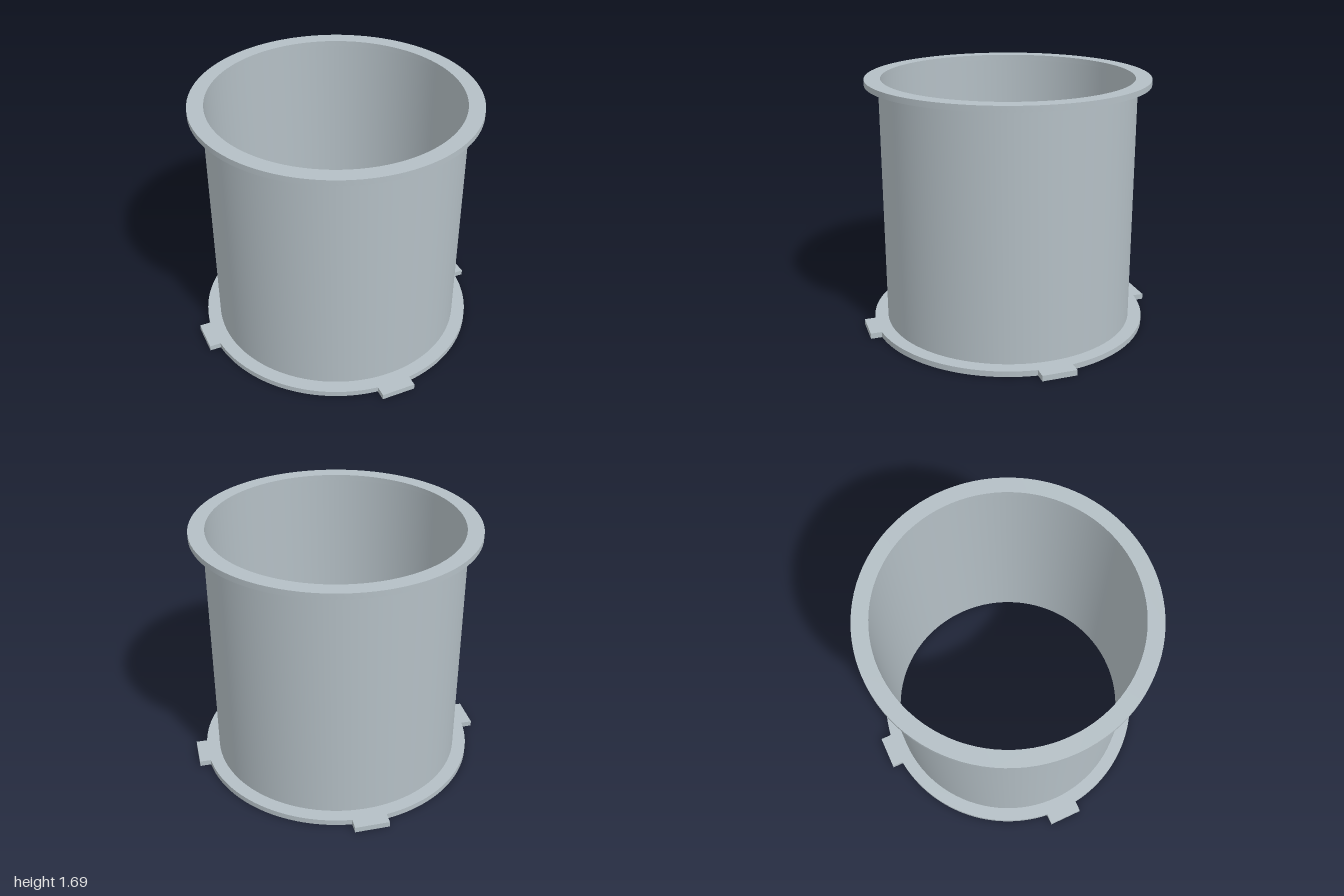
import * as THREE from 'three';
import { toCreasedNormals } from 'three/addons/utils/BufferGeometryUtils.js';

const HEIGHT = 1.69, PLATE = 0.038;
const BORE = 0.827, WALL = 0.842, RIM = 0.932;
const TAB_HALF = 0.115, TAB_REACH = 1;

// Circular outline, optionally with four square tabs standing out from it
function outline(radius, tabbed) {
  const shape = new THREE.Shape();
  if (!tabbed) return shape.absarc(0, 0, radius, 0, Math.PI * 2, false);
  const half = Math.asin(TAB_HALF / radius);
  for (let i = 0; i < 4; i++) {
    const a = i * Math.PI / 2;
    for (const side of [-TAB_HALF, TAB_HALF]) {
      const x = TAB_REACH * Math.cos(a) - side * Math.sin(a);
      const y = TAB_REACH * Math.sin(a) + side * Math.cos(a);
      if (i === 0 && side < 0) shape.moveTo(x, y);
      else shape.lineTo(x, y);
    }
    shape.absarc(0, 0, radius, a + half, a + Math.PI / 2 - half, false);
  }
  shape.closePath();
  return shape;
}

// Upright ring with the common bore, between two heights
function ring(name, shape, y0, y1, material) {
  shape.holes.push(new THREE.Path().absarc(0, 0, BORE, 0, Math.PI * 2, true));
  const extruded = new THREE.ExtrudeGeometry(shape, {
    depth: y1 - y0, bevelEnabled: false, curveSegments: 48,
  });
  extruded.rotateX(-Math.PI / 2).translate(0, y0, 0);
  const mesh = new THREE.Mesh(toCreasedNormals(extruded, Math.PI / 6), material);
  mesh.name = name;
  return mesh;
}

export function createModel() {
  const group = new THREE.Group();
  group.name = 'flangedSleeve';
  const metal = new THREE.MeshStandardMaterial({ color: 0xb4bfc5 });
  metal.name = 'paleGreyMetal';

  group.add(
    ring('bottomFlangeWithTabs', outline(RIM, true), 0, PLATE, metal),
    ring('sleeveWall', outline(WALL, false), PLATE, HEIGHT - PLATE, metal),
    ring('topFlange', outline(RIM, false), HEIGHT - PLATE, HEIGHT, metal),
  );
  return group;
}
